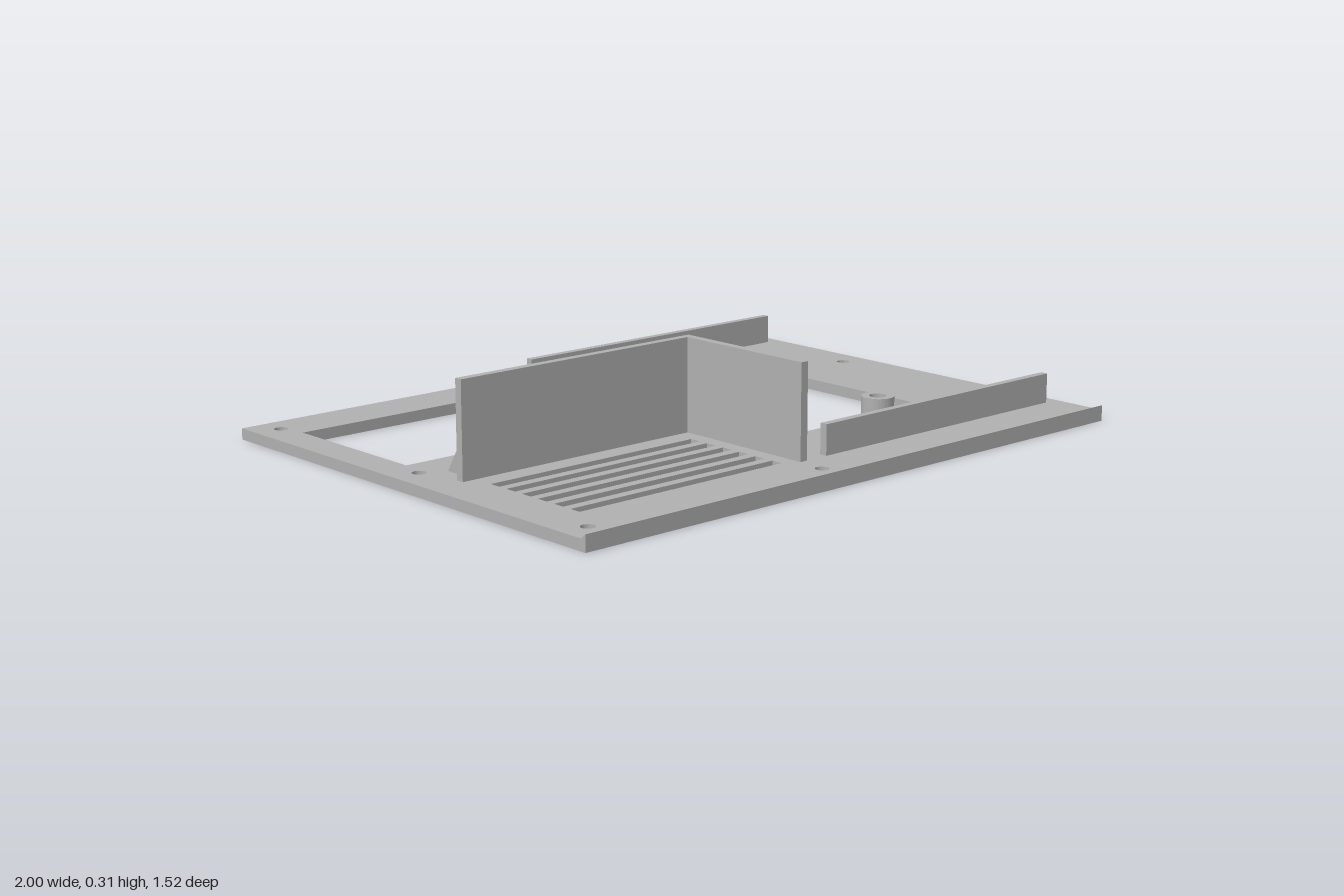
import * as THREE from 'three';

const PLATE = 0.033, STEP = 0.017;

const rect = (x0, x1, z0, z1, T = THREE.Path) => new T([
  [x0, z0], [x1, z0], [x1, z1], [x0, z1]].map(p => new THREE.Vector2(...p)));

function circle(x, z, r) {
  const p = new THREE.Path();
  p.absarc(x, z, r, 0, Math.PI * 2, true);
  return p;
}

// Extrudes an x/z outline between two heights
function slab(shape, y0, y1) {
  const g = new THREE.ExtrudeGeometry(shape, { depth: y1 - y0, bevelEnabled: false, curveSegments: 16 });
  return g.rotateX(Math.PI / 2).translate(0, y1, 0);
}

export function createModel() {
  const model = new THREE.Group();
  const grey = new THREE.MeshStandardMaterial({ name: 'grey plastic', color: 0xb0b0b0 });
  const add = (name, geo) => {
    const m = new THREE.Mesh(geo, grey);
    m.name = name;
    model.add(m);
    return m;
  };
  const box = (name, x0, x1, y0, y1, z0, z1) => add(name,
    new THREE.BoxGeometry(x1 - x0, y1 - y0, z1 - z0)
      .translate((x0 + x1) / 2, (y0 + y1) / 2, (z0 + z1) / 2));

  const screws = [[-0.92, -0.68], [-0.11, -0.68], [0.92, -0.68], [0.92, -0.22],
    [-0.92, -0.02], [-0.92, 0.675], [-0.095, 0.675], [0.92, 0.485]];
  const cx = 0.405;
  const bosses = [{ z: -0.49, dimple: -0.56 }, { z: 0.41, dimple: 0.475 }];

  // Base plate: lower layer has countersinks and the underside recesses
  const lower = rect(-1, 1, -0.76, 0.76, THREE.Shape);
  const upper = rect(-1, 1, -0.76, 0.76, THREE.Shape);
  for (const s of [lower, upper]) {
    s.holes.push(rect(-0.9, -0.1, -0.6, -0.105));
    for (let i = 0; i < 6; i++) s.holes.push(rect(-0.85, -0.135, 0.2 + i * 0.065, 0.236 + i * 0.065));
  }
  upper.holes.push(rect(0.16, 0.66, -0.43, 0.355));

  // Window outline joined with a rounded pocket at each end
  const w = new THREE.Path();
  const a = 0.25, b = 0.56, r = 0.06, back = -0.6, front = 0.52;
  w.moveTo(0.16, -0.43);
  w.lineTo(a, -0.43);
  w.lineTo(a, back + r);
  w.quadraticCurveTo(a, back, a + r, back);
  w.lineTo(b - r, back);
  w.quadraticCurveTo(b, back, b, back + r);
  w.lineTo(b, -0.43);
  w.lineTo(0.66, -0.43);
  w.lineTo(0.66, 0.355);
  w.lineTo(b, 0.355);
  w.lineTo(b, front - r);
  w.quadraticCurveTo(b, front, b - r, front);
  w.lineTo(a + r, front);
  w.quadraticCurveTo(a, front, a, front - r);
  w.lineTo(a, 0.355);
  w.lineTo(0.16, 0.355);
  w.closePath();
  lower.holes.push(w);

  for (const [x, z] of screws) {
    lower.holes.push(circle(x, z, 0.032));
    upper.holes.push(circle(x, z, 0.02));
    add('countersink', new THREE.LatheGeometry(
      [new THREE.Vector2(0.02, STEP), new THREE.Vector2(0.032, 0)], 32).translate(x, 0, z));
  }
  for (const { dimple } of bosses) {
    upper.holes.push(circle(cx, dimple, 0.03));
    add('dimpleFloor', new THREE.CylinderGeometry(0.03, 0.03, 0.008, 32).translate(cx, STEP + 0.004, dimple));
  }
  add('plateLower', slab(lower, 0, STEP));
  add('plateUpper', slab(upper, STEP, PLATE));

  // Hollow screw bosses
  for (const { z } of bosses) {
    const s = new THREE.Shape();
    s.absarc(cx, z, 0.048, 0, Math.PI * 2, false);
    s.holes.push(circle(cx, z, 0.025));
    add('screwBoss', slab(s, STEP + 0.001, 0.11));
  }

  // Low ribs and tall corner partition
  box('backRib', -0.06, 0.955, PLATE, 0.122, -0.625, -0.602);
  box('frontRib', 0.01, 0.953, PLATE, 0.122, 0.565, 0.588);
  box('partitionLong', -0.893, -0.065, PLATE, 0.31, 0.112, 0.136);
  box('partitionShort', -0.09, -0.065, PLATE, 0.31, 0.136, 0.588);

  // Profiles drawn in z/y and extruded along x
  const prism = (name, x0, x1, pts) => add(name,
    new THREE.ExtrudeGeometry(new THREE.Shape(pts.map(([z, y]) => new THREE.Vector2(-z, y))),
      { depth: x1 - x0, bevelEnabled: false }).rotateY(Math.PI / 2).translate(x0, 0, 0));
  for (const x of [-0.852, -0.489]) {
    prism('gusset', x, x + 0.022, [[0.018, PLATE], [0.113, PLATE], [0.113, 0.187]]);
  }
  prism('frontLip', -1, 1, [[0.744, PLATE], [0.76, PLATE], [0.76, 0.047]]);

  return model;
}
